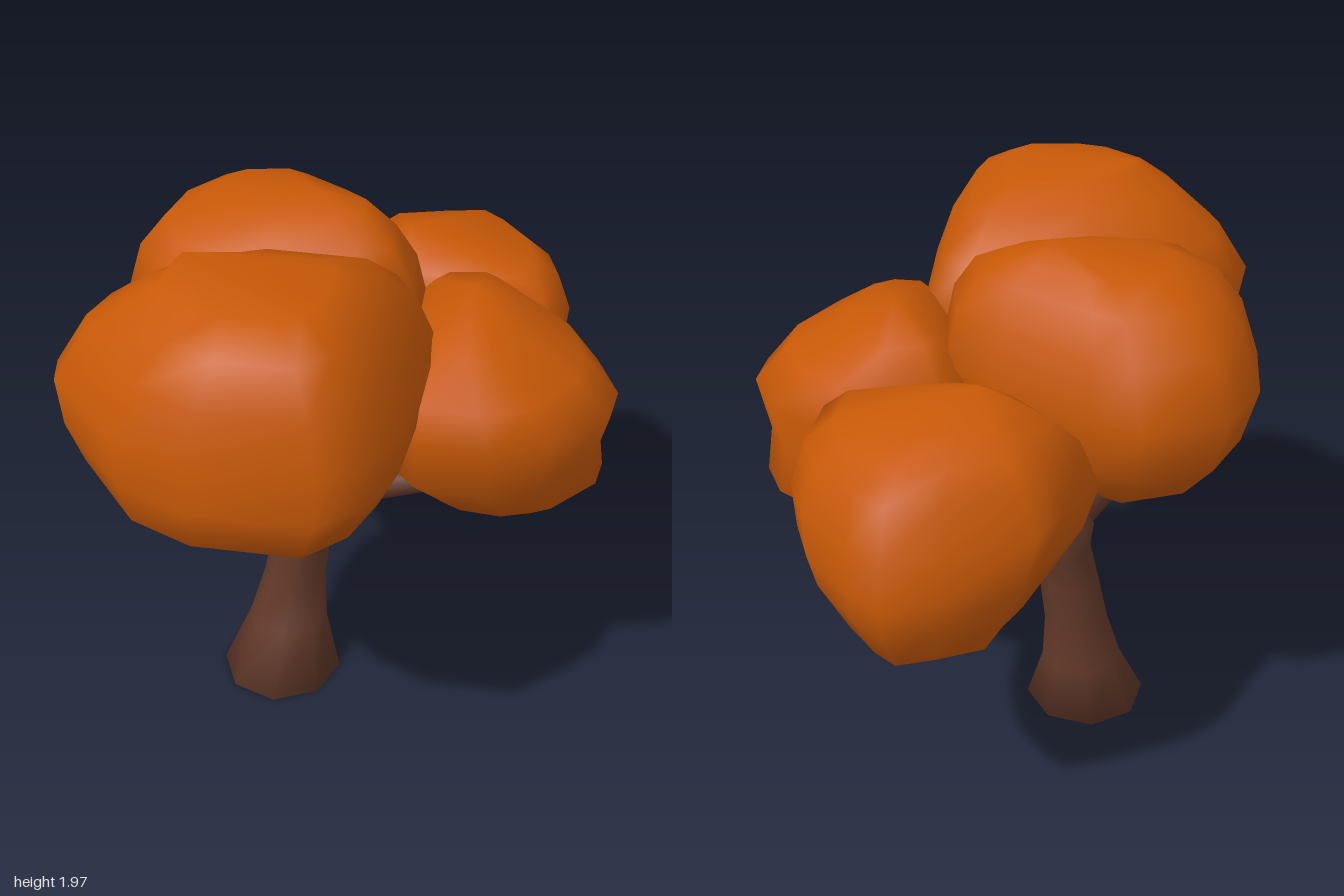
import * as THREE from 'three';

const leafOrange = new THREE.MeshStandardMaterial({ color: 0xc75807 });
leafOrange.name = 'leafOrange';
const barkBrown = new THREE.MeshStandardMaterial({ color: 0x623829 });
barkBrown.name = 'barkBrown';

// Smooth skin over a stack of equal-sized rings, closed by a point at each end.
function loft(rings, start, end) {
  const n = rings[0].length;
  const pos = [...rings.flat(), start, end].flatMap((p) => [p.x, p.y, p.z]);
  const first = rings.length * n;
  const idx = [];
  for (let r = 0; r < rings.length - 1; r++) {
    for (let i = 0; i < n; i++) {
      const a = r * n + i, b = r * n + (i + 1) % n;
      idx.push(a, b, b + n, a, b + n, a + n);
    }
  }
  for (let i = 0; i < n; i++) {
    const j = (i + 1) % n, top = first - n;
    idx.push(first, j, i, first + 1, top + i, top + j);
  }
  const g = new THREE.BufferGeometry();
  g.setAttribute('position', new THREE.Float32BufferAttribute(pos, 3));
  g.setIndex(idx);
  g.computeVertexNormals();
  return g;
}

// Leaf clump: a plan outline [x, z] fitted into a box at each level.
// Level: [y, xMin, xMax, zMin, zMax]
function clump(name, { plan, levels, bottom, top }) {
  const box = new THREE.Box2().setFromPoints(plan.map((p) => new THREE.Vector2(...p)));
  const size = box.getSize(new THREE.Vector2());
  const rings = levels.map(([y, x0, x1, z0, z1]) => plan.map(([x, z]) => new THREE.Vector3(
    x0 + (x1 - x0) * (x - box.min.x) / size.x, y,
    z0 + (z1 - z0) * (z - box.min.y) / size.y)));
  const mesh = new THREE.Mesh(
    loft(rings, new THREE.Vector3(...bottom), new THREE.Vector3(...top)), leafOrange);
  mesh.name = name;
  return mesh;
}

// Tapered limb through points [x, y, z, radius]; flat keeps the rings level.
function limb(name, path, flat = false, sides = 8) {
  const pts = path.map((p) => new THREE.Vector3(p[0], p[1], p[2]));
  const up = new THREE.Vector3(0, 1, 0);
  const rings = pts.map((p, k) => {
    const dir = pts[Math.min(k + 1, pts.length - 1)].clone().sub(pts[Math.max(k - 1, 0)]).normalize();
    const q = new THREE.Quaternion();
    if (!flat) q.setFromUnitVectors(up, dir);
    return Array.from({ length: sides }, (_, i) => {
      const a = (i / sides) * Math.PI * 2;
      return new THREE.Vector3(-Math.cos(a), 0, Math.sin(a))
        .multiplyScalar(path[k][3]).applyQuaternion(q).add(p);
    });
  });
  const mesh = new THREE.Mesh(loft(rings, pts[0], pts[pts.length - 1]), barkBrown);
  mesh.name = name;
  return mesh;
}

export function createModel() {
  const tree = new THREE.Group();
  tree.name = 'autumnTree';

  // Trunk with flared foot and a rounded fork
  tree.add(limb('trunk', [
    [-0.28, 0, 0.04, 0.222], [-0.255, 0.22, -0.005, 0.145], [-0.23, 0.4, -0.025, 0.115],
    [-0.2, 0.58, -0.03, 0.107], [-0.17, 0.72, -0.03, 0.105], [-0.155, 0.81, -0.03, 0.13],
    [-0.15, 0.9, -0.03, 0.085],
  ], true));

  // Branches
  tree.add(limb('leftBranch', [
    [-0.17, 0.81, -0.01, 0.085], [-0.38, 0.885, 0.2, 0.072], [-0.55, 0.95, 0.38, 0.065],
    [-0.64, 1.13, 0.48, 0.06], [-0.66, 1.24, 0.5, 0.055],
  ]));
  tree.add(limb('frontBranch', [
    [-0.15, 0.8, -0.02, 0.085], [-0.14, 0.91, 0.24, 0.065], [-0.14, 1.01, 0.42, 0.068],
    [-0.14, 1.11, 0.54, 0.072], [-0.14, 1.22, 0.6, 0.065],
  ]));
  tree.add(limb('rightBranch', [
    [-0.15, 0.82, -0.03, 0.085], [0.07, 0.875, 0.02, 0.068], [0.27, 0.95, 0.07, 0.052],
    [0.45, 1.06, 0.1, 0.045],
  ]));
  tree.add(limb('backBranch', [
    [-0.15, 0.81, -0.04, 0.085], [0.05, 0.845, -0.25, 0.06], [0.22, 0.9, -0.44, 0.05],
    [0.35, 1.02, -0.58, 0.045],
  ]));
  tree.add(limb('upperBranch', [
    [-0.155, 0.78, -0.03, 0.08], [-0.18, 0.98, -0.13, 0.06], [-0.22, 1.28, -0.28, 0.055],
  ]));

  // Leaf clumps
  tree.add(clump('frontLeaves', {
    plan: [[-0.87, 0.45], [-0.85, 0.56], [-0.6, 0.87], [-0.37, 0.98], [0.01, 1], [0.15, 0.88],
      [0.23, 0.7], [0.29, 0.22], [0.2, 0.06], [-0.3, 0.02], [-0.64, 0.14], [-0.82, 0.3]],
    levels: [
      [1.06, -0.58, -0.25, 0.36, 0.62], [1.14, -0.7, -0.06, 0.25, 0.76],
      [1.3, -0.79, 0.2, 0.1, 0.99], [1.42, -0.85, 0.27, 0.05, 1], [1.57, -0.87, 0.29, 0.02, 1],
      [1.74, -0.76, 0.22, 0.06, 0.96], [1.87, -0.6, 0.12, 0.22, 0.9],
      [1.935, -0.5, 0.0, 0.37, 0.77]],
    bottom: [-0.42, 1.02, 0.48], top: [-0.45, 1.97, 0.46],
  }));
  tree.add(clump('leftLeaves', {
    plan: [[-0.79, -0.13], [-0.67, 0.13], [-0.3, 0.22], [0.1, 0.16], [0.23, 0.07], [0.23, -0.16],
      [0.1, -0.3], [-0.2, -0.57], [-0.33, -0.65], [-0.6, -0.6], [-0.74, -0.4]],
    levels: [
      [1.13, -0.5, -0.1, -0.4, 0], [1.2, -0.63, 0.04, -0.5, 0.09],
      [1.34, -0.74, 0.16, -0.61, 0.18], [1.52, -0.79, 0.23, -0.65, 0.23],
      [1.7, -0.73, 0.19, -0.57, 0.22], [1.81, -0.64, 0.12, -0.47, 0.16],
      [1.88, -0.5, 0.02, -0.35, 0.02]],
    bottom: [-0.3, 1.1, -0.2], top: [-0.12, 1.92, -0.1],
  }));
  tree.add(clump('backLeaves', {
    plan: [[-0.22, -0.6], [-0.08, -0.4], [0.1, -0.28], [0.28, -0.25], [0.66, -0.27], [0.72, -0.52],
      [0.68, -0.7], [0.55, -0.9], [0.45, -1], [0.25, -0.97], [0, -0.91], [-0.1, -0.75]],
    levels: [
      [0.865, 0.17, 0.46, -0.83, -0.54], [0.93, 0.02, 0.58, -0.93, -0.44],
      [1.08, -0.1, 0.68, -0.99, -0.3], [1.18, -0.17, 0.71, -1, -0.27],
      [1.32, -0.22, 0.72, -0.97, -0.25], [1.46, -0.16, 0.67, -0.9, -0.26],
      [1.53, -0.08, 0.58, -0.84, -0.3], [1.575, 0.02, 0.4, -0.68, -0.37]],
    bottom: [0.32, 0.85, -0.66], top: [0.14, 1.63, -0.5],
  }));
  tree.add(clump('rightLeaves', {
    plan: [[0.1, 0.12], [0.14, 0.33], [0.25, 0.47], [0.48, 0.5], [0.66, 0.45], [0.84, 0.25],
      [0.87, 0.1], [0.81, -0.1], [0.66, -0.25], [0.55, -0.3], [0.25, -0.28], [0.14, -0.2]],
    levels: [
      [0.92, 0.4, 0.65, -0.08, 0.2], [0.97, 0.3, 0.74, -0.2, 0.3],
      [1.04, 0.22, 0.85, -0.26, 0.37], [1.18, 0.09, 0.83, -0.29, 0.48],
      [1.36, 0.09, 0.87, -0.29, 0.51], [1.49, 0.13, 0.75, -0.29, 0.5],
      [1.61, 0.24, 0.54, -0.2, 0.34]],
    bottom: [0.52, 0.9, 0.08], top: [0.39, 1.68, 0.03],
  }));
  return tree;
}
